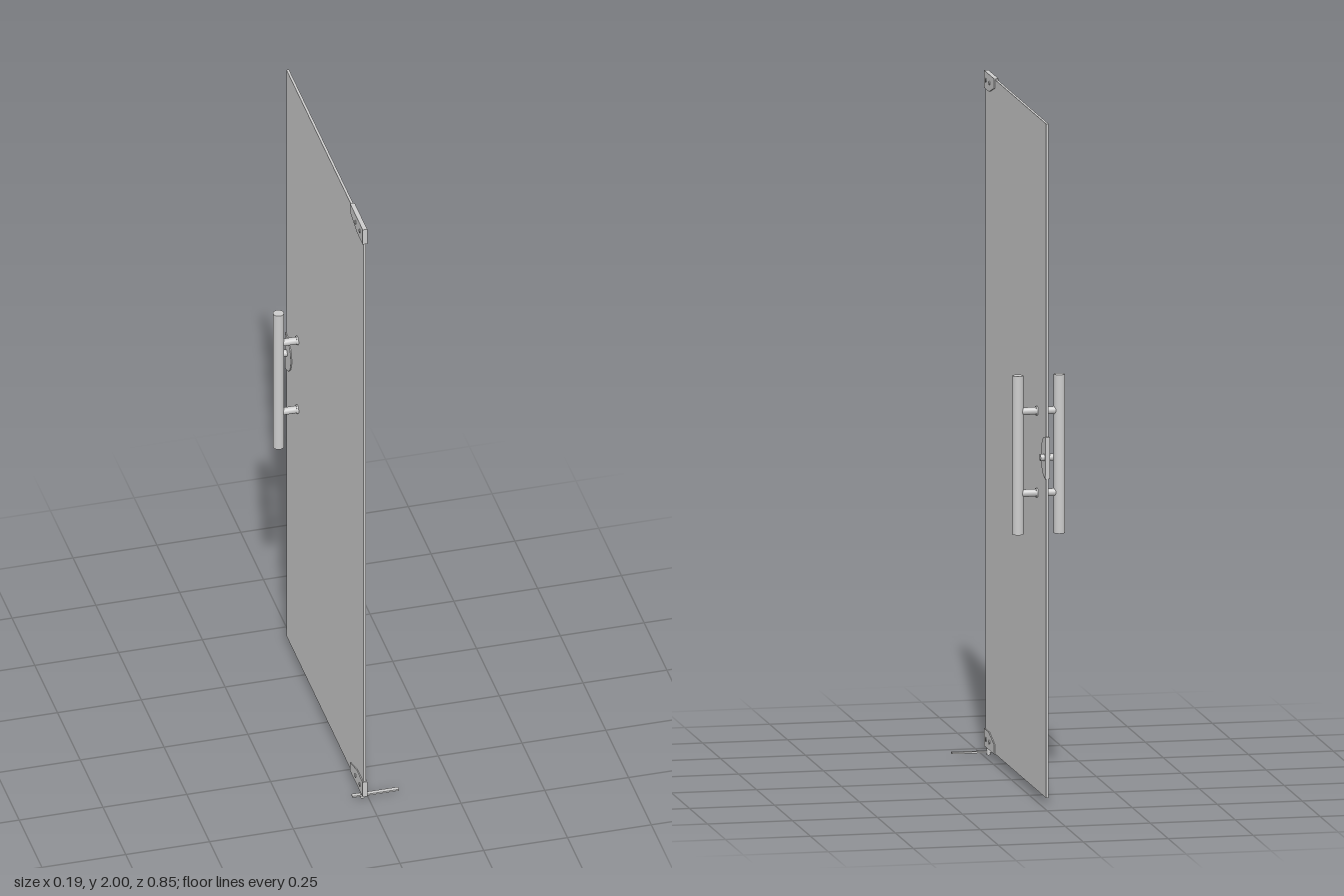
import * as THREE from 'three';

const PX = -0.0165; // x of the glass mid-plane
const mat = new THREE.MeshStandardMaterial({ color: 0xcccccc, metalness: 0.1, roughness: 0.6 });

function add(parent, name, geo, x, y, z) {
  const m = new THREE.Mesh(geo, mat);
  m.name = name;
  m.position.set(x, y, z);
  parent.add(m);
  return m;
}

// Cylinder lying along x
function rod(r, len, seg = 24) {
  return new THREE.CylinderGeometry(r, r, len, seg).rotateZ(Math.PI / 2);
}

// Flat plate drawn in (z, y), centred on the glass plane
function plate(shape, t) {
  return new THREE.ExtrudeGeometry(shape, { depth: t, bevelEnabled: false, curveSegments: 24 })
    .translate(0, 0, -t / 2)
    .rotateY(-Math.PI / 2);
}

// Patch fitting with a sloped nose; dir = 1 rises from the edge, -1 hangs down
function patchFitting(name, y0, dir) {
  const g = new THREE.Group();
  g.name = name;
  const pts = [[0.427, 0], [0.427, 0.051], [0.36, 0.051], [0.287, 0.028], [0.287, 0]];
  const shape = new THREE.Shape(pts.map(([z, y]) => new THREE.Vector2(z, y0 + dir * y)));
  add(g, name + 'Plate', plate(shape, 0.0135), PX, 0, 0);
  for (const z of [0.35, 0.397]) add(g, name + 'Screw', rod(0.006, 0.0185, 16), PX, y0 + dir * 0.024, z);
  return g;
}

export function createModel() {
  const door = new THREE.Group();
  door.name = 'glassDoor';

  // Glass panel
  add(door, 'glassPanel', new THREE.BoxGeometry(0.0075, 1.974, 0.846), PX, 1.01, 0);

  // Corner fittings on the hinge side
  door.add(patchFitting('topFitting', 2.0, -1));
  door.add(patchFitting('bottomFitting', 0.022, 1));

  // Floor pivot: pin and closer arm
  add(door, 'pivotPin', new THREE.CylinderGeometry(0.006, 0.006, 0.024, 16), PX, 0.012, 0.397);
  add(door, 'pivotArm', new THREE.BoxGeometry(0.139, 0.005, 0.013), 0.0225, 0.01, 0.396);

  // Pull handles on both faces, joined through the glass
  const handle = new THREE.Group();
  handle.name = 'pullHandle';
  for (const s of [-1, 1]) {
    add(handle, 'gripBar', new THREE.CylinderGeometry(0.016, 0.016, 0.465, 32), PX + s * 0.061, 1.0075, -0.3);
  }
  for (const y of [0.895, 1.135]) {
    add(handle, 'standoff', rod(0.011, 0.12), PX, y, -0.3);
    add(handle, 'collar', rod(0.0135, 0.017), PX, y, -0.3);
  }
  door.add(handle);

  // Half-round lock plate with a thumb turn on the free edge
  const lock = new THREE.Group();
  lock.name = 'lock';
  const half = new THREE.Shape();
  half.moveTo(-0.427, 0.957);
  half.absarc(-0.425, 1.0185, 0.0615, -Math.PI / 2, Math.PI / 2, false);
  half.lineTo(-0.427, 1.08);
  add(lock, 'lockPlate', plate(half, 0.0135), PX, 0, 0);
  add(lock, 'thumbTurn', rod(0.01, 0.038), PX, 1.0185, -0.411);
  door.add(lock);

  return door;
}
